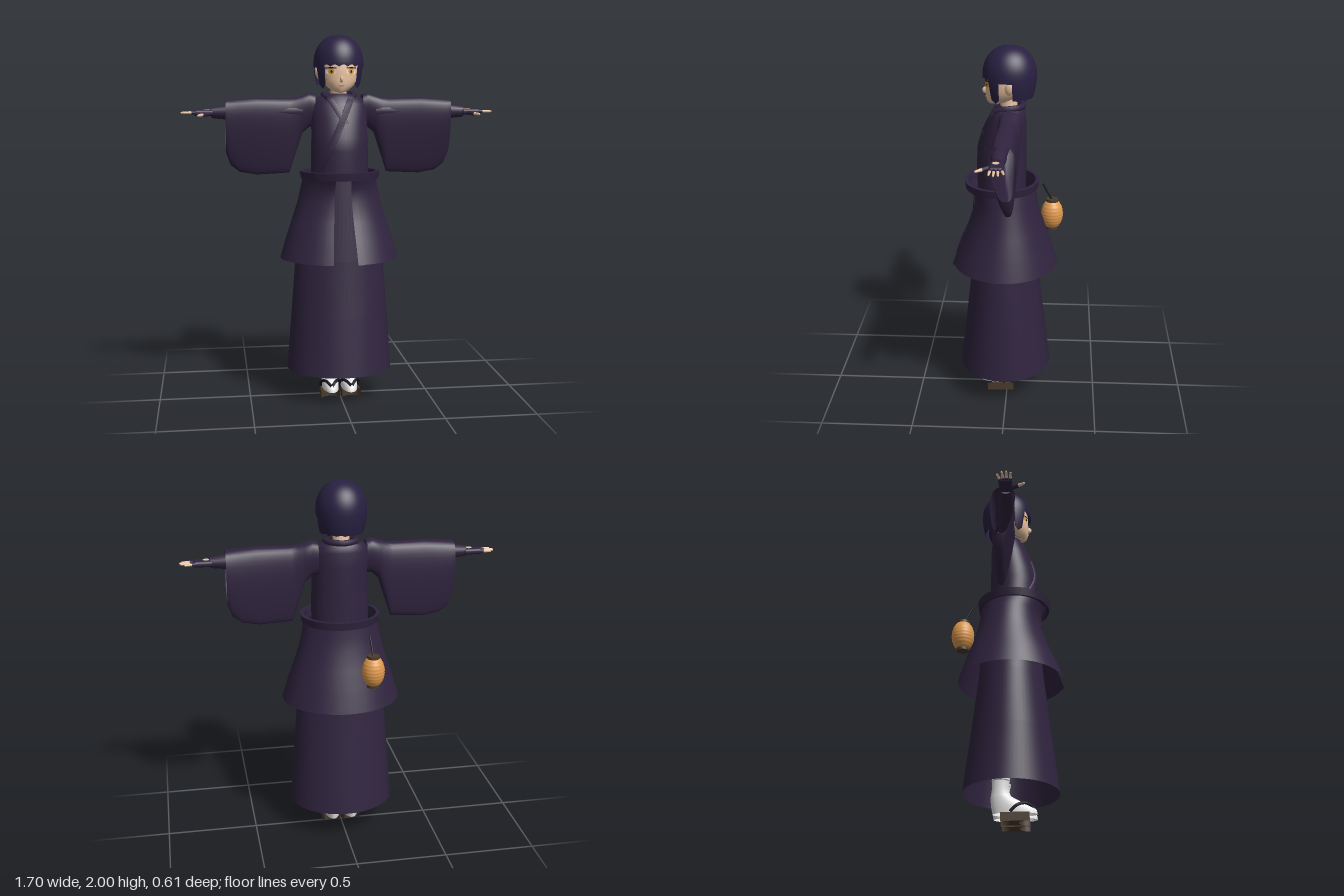
import * as THREE from 'three';
import { toCreasedNormals } from 'three/addons/utils/BufferGeometryUtils.js';
import { RoundedBoxGeometry } from 'three/addons/geometries/RoundedBoxGeometry.js';

const mat = (name, color) => {
  const m = new THREE.MeshStandardMaterial({ color, side: THREE.DoubleSide });
  m.name = name;
  return m;
};
const V = (x, y, z) => new THREE.Vector3(x, y, z);

// Skin a list of rings (arrays of [x, y, z]) into one surface
function loft(rings, closed = true) {
  const n = rings[0].length, idx = [];
  for (let i = 0; i < rings.length - 1; i++)
    for (let j = 0; j < (closed ? n : n - 1); j++) {
      const a = i * n + j, b = i * n + (j + 1) % n, c = a + n, d = b + n;
      idx.push(a, c, b, b, c, d);
    }
  const g = new THREE.BufferGeometry();
  g.setAttribute('position', new THREE.Float32BufferAttribute(rings.flat(2), 3));
  g.setIndex(idx);
  g.computeVertexNormals();
  return g;
}

// Horizontal ring with separate front and back depth; angle 0 is the front
function ring(y, rx, zf, zb, { n = 48, a0 = 0, a1 = Math.PI * 2, p = 1 } = {}) {
  const open = a1 - a0 < 6.28, pw = v => Math.sign(v) * Math.abs(v) ** p;
  return Array.from({ length: open ? n + 1 : n }, (_, i) => {
    const a = a0 + (a1 - a0) * i / n;
    return [rx * pw(Math.sin(a)), y, (zf + zb) / 2 + (zf - zb) / 2 * pw(Math.cos(a))];
  });
}

// Interpolate rows [y, rx, zf, zb] listed from top to bottom
function sample(rows, y) {
  let i = 0;
  while (i < rows.length - 2 && y < rows[i + 1][0]) i++;
  const t = THREE.MathUtils.clamp((y - rows[i][0]) / (rows[i + 1][0] - rows[i][0]), 0, 1);
  return rows[i].map((v, k) => THREE.MathUtils.lerp(v, rows[i + 1][k], t));
}
function frontZ(rows, x, y) {
  const [, rx, zf, zb] = sample(rows, y);
  return (zf + zb) / 2 + (zf - zb) / 2 * Math.sqrt(Math.max(0, 1 - (x / rx) ** 2));
}

const TORSO = [[1.685, 0.06, 0.04, -0.065], [1.665, 0.12, 0.07, -0.085], [1.63, 0.15, 0.09, -0.097],
  [1.55, 0.152, 0.125, -0.1], [1.45, 0.153, 0.155, -0.1], [1.38, 0.155, 0.167, -0.1], [1.22, 0.157, 0.162, -0.1]];
const HEAD = [[1.94, 0.01, 0.01, -0.01], [1.93, 0.05, 0.06, -0.06], [1.9, 0.085, 0.095, -0.1], [1.85, 0.103, 0.114, -0.115],
  [1.8, 0.104, 0.115, -0.11], [1.76, 0.096, 0.117, -0.085], [1.73, 0.078, 0.115, -0.05],
  [1.705, 0.048, 0.108, -0.01], [1.692, 0.018, 0.095, 0.04], [1.69, 0.002, 0.08, 0.06]];
const PEPLUM = [[1.235, 0.2, 0.212, -0.15], [1.18, 0.211, 0.182, -0.157], [1.1, 0.228, 0.186, -0.172],
  [1.0, 0.26, 0.218, -0.205], [0.9, 0.293, 0.262, -0.24], [0.79, 0.325, 0.302, -0.275]];
const SKIRT = [[1.24, 0.183, 0.155, -0.13], [0.79, 0.242, 0.195, -0.165], [0.48, 0.266, 0.23, -0.203], [0.165, 0.29, 0.268, -0.243]];
// Sleeve stations [x, top, bottom, centre z, half depth]
const SLEEVE = [[0.13, 1.68, 1.51, -0.02, 0.066], [0.16, 1.688, 1.505, -0.02, 0.07], [0.2, 1.675, 1.47, -0.016, 0.07],
  [0.235, 1.664, 1.36, -0.012, 0.07], [0.27, 1.66, 1.255, -0.008, 0.071], [0.45, 1.662, 1.246, 0, 0.076],
  [0.54, 1.656, 1.262, 0, 0.078], [0.59, 1.652, 1.3, 0, 0.078], [0.614, 1.65, 1.37, 0, 0.077]];

export function createModel() {
  const cloth = mat('plum cloth', 0x30243f), hairMat = mat('violet hair', 0x292042), skin = mat('skin', 0xf0c8a6);
  const white = mat('white cotton', 0xf0f0f0), wood = mat('sandal wood', 0x4a3b2c), black = mat('black cord', 0x17161f);
  const paper = mat('lantern paper', 0xe09a4e), gold = mat('gold iris', 0xe0a23c), lip = mat('lip', 0xb87868);
  const model = new THREE.Group();
  const add = (name, geo, m, parent = model) => {
    const mesh = new THREE.Mesh(geo, m);
    mesh.name = name;
    parent.add(mesh);
    return mesh;
  };
  const rod = (name, a, b, r0, r1, m, parent) => {
    const mesh = add(name, new THREE.CylinderGeometry(r1, r0, a.distanceTo(b), 12), m, parent);
    mesh.position.copy(a).lerp(b, 0.5);
    mesh.quaternion.setFromUnitVectors(V(0, 1, 0), b.clone().sub(a).normalize());
    return mesh;
  };
  const tube = (name, pts, r, m, parent) =>
    add(name, new THREE.TubeGeometry(new THREE.CatmullRomCurve3(pts.map(p => V(...p))), 32, r, 8), m, parent);
  const body = (name, rows, m, opt) => add(name, loft(rows.map(r => ring(...r, opt))), m);

  // Robe: torso, long skirt, flared jacket hem split at the front
  body('torso', TORSO, cloth);
  body('longSkirt', SKIRT, cloth, { n: 64 });
  const split = 0.22;
  add('jacketHem', loft(PEPLUM.map(r => ring(...r, { n: 64, a0: split, a1: Math.PI * 2 - split })), false), cloth);
  for (const a of [split - 0.02, -split - 0.12])
    add('hemBand', loft(PEPLUM.map(([y, rx, zf, zb]) => ring(y, rx + 0.006, zf + 0.006, zb, { n: 4, a0: a, a1: a + 0.14 })), false), cloth);

  // Belt: a hollow band
  const beltRows = [[1.228, 0.21, 0.228, -0.165], [1.27, 0.219, 0.236, -0.172], [1.27, 0.198, 0.214, -0.152],
    [1.228, 0.196, 0.21, -0.15], [1.228, 0.21, 0.228, -0.165]];
  add('belt', toCreasedNormals(loft(beltRows.map(r => ring(...r, { n: 64 }))), 0.7), cloth);

  // Crossed lapels following the chest
  const lapel = (x0, y0, x1, y1, lift) => {
    const rows = [];
    for (let i = 0; i <= 16; i++) {
      const x = x0 + (x1 - x0) * i / 16, y = y0 + (y1 - y0) * i / 16;
      rows.push([-0.02, -0.016, 0.016, 0.02].map((w, k) =>
        [x + w, y, frontZ(TORSO, x + w, y) + (k === 0 || k === 3 ? -0.002 : lift)]));
    }
    add('lapel', loft(rows, false), cloth);
  };
  lapel(-0.065, 1.675, 0.02, 1.53, 0.006);
  lapel(0.065, 1.675, -0.125, 1.26, 0.01);
  tube('collar', [[-0.06, 1.66, 0.065], [-0.082, 1.678, 0.01], [-0.066, 1.682, -0.05], [0, 1.68, -0.08],
    [0.066, 1.682, -0.05], [0.082, 1.678, 0.01], [0.06, 1.66, 0.065]], 0.017, cloth);

  // Head and neck
  rod('neck', V(0, 1.62, -0.012), V(0, 1.76, 0), 0.048, 0.042, skin);
  body('head', HEAD, skin);
  const nose = add('nose', new THREE.SphereGeometry(1, 10, 8), skin);
  nose.scale.set(0.009, 0.018, 0.017);
  nose.position.set(0, 1.762, 0.118);

  // Thin discs draped over the face
  const patch = (name, x, y, w, h, lift, m) => {
    const g = new THREE.CircleGeometry(1, 20), p = g.attributes.position;
    for (let i = 0; i < p.count; i++) {
      const px = x + p.getX(i) * w, py = y + p.getY(i) * h;
      p.setXYZ(i, px, py, frontZ(HEAD, px, py) + lift);
    }
    g.computeVertexNormals();
    add(name, g, m);
  };
  for (const s of [-1, 1]) {
    patch('eyeWhite', s * 0.054, 1.803, 0.027, 0.017, 0.003, white);
    patch('iris', s * 0.053, 1.803, 0.017, 0.017, 0.005, gold);
    patch('pupil', s * 0.053, 1.803, 0.005, 0.008, 0.007, black);
    patch('eyelash', s * 0.055, 1.822, 0.03, 0.004, 0.007, black);
    // Ear
    const ear = add('ear', new THREE.SphereGeometry(1, 12, 10), skin);
    ear.scale.set(0.014, 0.036, 0.022);
    ear.position.set(s * 0.113, 1.795, -0.012);
    ear.rotation.z = -s * 0.25;
  }
  patch('mouth', 0, 1.728, 0.016, 0.003, 0.003, lip);

  // Bobbed hair: a dome whose lower edge varies round the head
  const hairEdge = a => {
    const b = Math.abs(a);
    if (b < 0.74) return 1.828 + 0.012 * Math.abs(Math.sin(a * 9 + 1));
    if (b < 1.18) return 1.712 + 0.1 * Math.abs(b - 0.96);
    if (b < 1.7) return 1.825;
    return 1.728 + 0.006 * Math.abs(Math.sin(a * 8));
  };
  const hairRings = [], N = 128;
  for (let i = 0; i <= 24; i++) {
    const t = i / 24, row = [];
    for (let j = 0; j < N; j++) {
      const a = -Math.PI + (j + 0.5) * Math.PI * 2 / N;
      const e = hairEdge(a);
      let y, k;
      if (t <= 0.5) {
        y = 1.85 + 0.15 * Math.cos(t * Math.PI);
        k = Math.sin(t * Math.PI) ** 0.9;
      } else {
        y = 1.85 + (e - 1.85) * (t - 0.5) * 2;
        k = 1 - 9 * (1.85 - y) ** 2;
      }
      row.push([0.135 * k * Math.sin(a), y, -0.01 + 0.142 * k * Math.cos(a)]);
    }
    hairRings.push(row);
  }
  add('hair', loft(hairRings), hairMat);
  // Back of the hair filled in to the nape
  add('hairUnderside', loft([1, 0.5].map(k => ring(1.735, 0.112 * k, -0.035, -0.035 - 0.08 * k,
    { n: 24, a0: Math.PI * 0.5, a1: Math.PI * 1.5 })), false), hairMat);

  for (const s of [1, -1]) {
    // Hanging sleeve, arm and hand, mirrored by scale
    const arm = new THREE.Group();
    arm.name = s > 0 ? 'leftArm' : 'rightArm';
    arm.scale.x = s;
    model.add(arm);
    add('sleeve', loft(SLEEVE.map(([x, top, bot, zc, w]) => Array.from({ length: 40 }, (_, i) => {
      const t = i / 40 * Math.PI * 2, f = (1 - Math.cos(t)) / 2, q = Math.sin(t);
      const drop = f * Math.min(1, (top - bot) / 0.4);
      return [x, top - (top - bot) * f, THREE.MathUtils.lerp(zc, -0.03, drop) + w * (1 - 0.6 * drop) * Math.sign(q) * Math.abs(q) ** 0.6];
    }))), cloth, arm);
    rod('forearm', V(0.2, 1.59, 0), V(0.625, 1.588, 0.012), 0.045, 0.036, cloth, arm);
    rod('innerCuff', V(0.6, 1.588, 0.012), V(0.69, 1.586, 0.014), 0.041, 0.029, cloth, arm);
    const palm = add('glove', new RoundedBoxGeometry(0.105, 0.032, 0.07, 3, 0.014), cloth, arm);
    palm.position.set(0.728, 1.585, 0.015);
    const spot = add('handSpot', new THREE.CylinderGeometry(0.017, 0.017, 0.004, 16), skin, arm);
    spot.position.set(0.712, 1.601, 0.018);
    const tips = [[0.825, -0.024], [0.845, 0], [0.85, 0.022], [0.838, 0.044]];
    const finger = (a, b, r, k) => {
      const mid = a.clone().lerp(b, k);
      rod('fingerGlove', a, mid, r + 0.002, r + 0.001, cloth, arm);
      rod('finger', mid, b, r, r * 0.7, skin, arm);
      add('fingertip', new THREE.SphereGeometry(r * 0.72, 8, 6), skin, arm).position.copy(b);
    };
    tips.forEach(([x, z], i) => finger(V(0.765, 1.587, -0.011 + i * 0.017), V(x - 0.004, 1.586, z), 0.0075, 0.4));
    finger(V(0.7, 1.58, 0.035), V(0.757, 1.574, 0.109), 0.009, 0.65);

    // Foot with sock and wooden sandal
    const foot = new THREE.Group();
    foot.name = s > 0 ? 'leftFoot' : 'rightFoot';
    foot.scale.x = s;
    model.add(foot);
    const sole = new THREE.Shape();
    sole.absellipse(0, -0.11, 0.053, 0.055, 0, Math.PI, false);
    sole.absellipse(0, 0.04, 0.045, 0.05, Math.PI, Math.PI * 2, false);
    const soleGeo = new THREE.ExtrudeGeometry(new THREE.Shape(sole.getPoints(16).map(p => new THREE.Vector2(p.x, -p.y))),
      { depth: 0.046, bevelEnabled: false });
    soleGeo.rotateX(Math.PI / 2);
    add('sandal', toCreasedNormals(soleGeo, 0.6), wood, foot).position.set(0.059, 0.046, 0);
    const sock = (y, rx, zf, zb) => ring(y, rx, zf, zb, { n: 28 }).map(([x, yy, z]) => [x + 0.053, yy, z]);
    add('sock', loft([sock(0.235, 0.04, 0.01, -0.085), sock(0.18, 0.036, 0, -0.084), sock(0.14, 0.037, 0.015, -0.09),
      sock(0.115, 0.04, 0.06, -0.09), sock(0.09, 0.044, 0.11, -0.088), sock(0.07, 0.046, 0.145, -0.085),
      sock(0.046, 0.045, 0.15, -0.08)]), white, foot);
    const frill = add('sockFrill', new THREE.TorusGeometry(0.042, 0.006, 8, 24), white, foot);
    frill.rotation.x = Math.PI / 2;
    frill.position.set(0.053, 0.225, -0.038);
    for (const x of [0.004, 0.104])
      tube('sandalStrap', [[0.055, 0.078, 0.135], [0.055 + (x - 0.055) * 0.6, 0.098, 0.09], [x, 0.082, 0.045], [x, 0.05, 0.01]], 0.008, black, foot);
  }

  // Paper lantern hanging from a stick at the back
  const lantern = new THREE.Group();
  lantern.name = 'lantern';
  lantern.position.set(-0.132, 1.018, -0.243);
  model.add(lantern);
  const profile = [];
  for (let i = 0; i <= 32; i++) {
    const t = i / 32 * 2 - 1;
    profile.push(new THREE.Vector2(0.06 * Math.sqrt(1 - 0.72 * t * t) + (i % 4 === 0 ? 0 : 0.0015), t * 0.076));
  }
  add('lanternShade', new THREE.LatheGeometry(profile, 32), paper, lantern);
  for (const y of [-0.08, 0.08])
    add('lanternCap', new THREE.CylinderGeometry(0.034, 0.034, 0.018, 24), wood, lantern).position.y = y;
  rod('lanternStick', V(0, 0.08, 0), V(0.008, 0.178, 0.052), 0.005, 0.005, black, lantern);
  return model;
}
